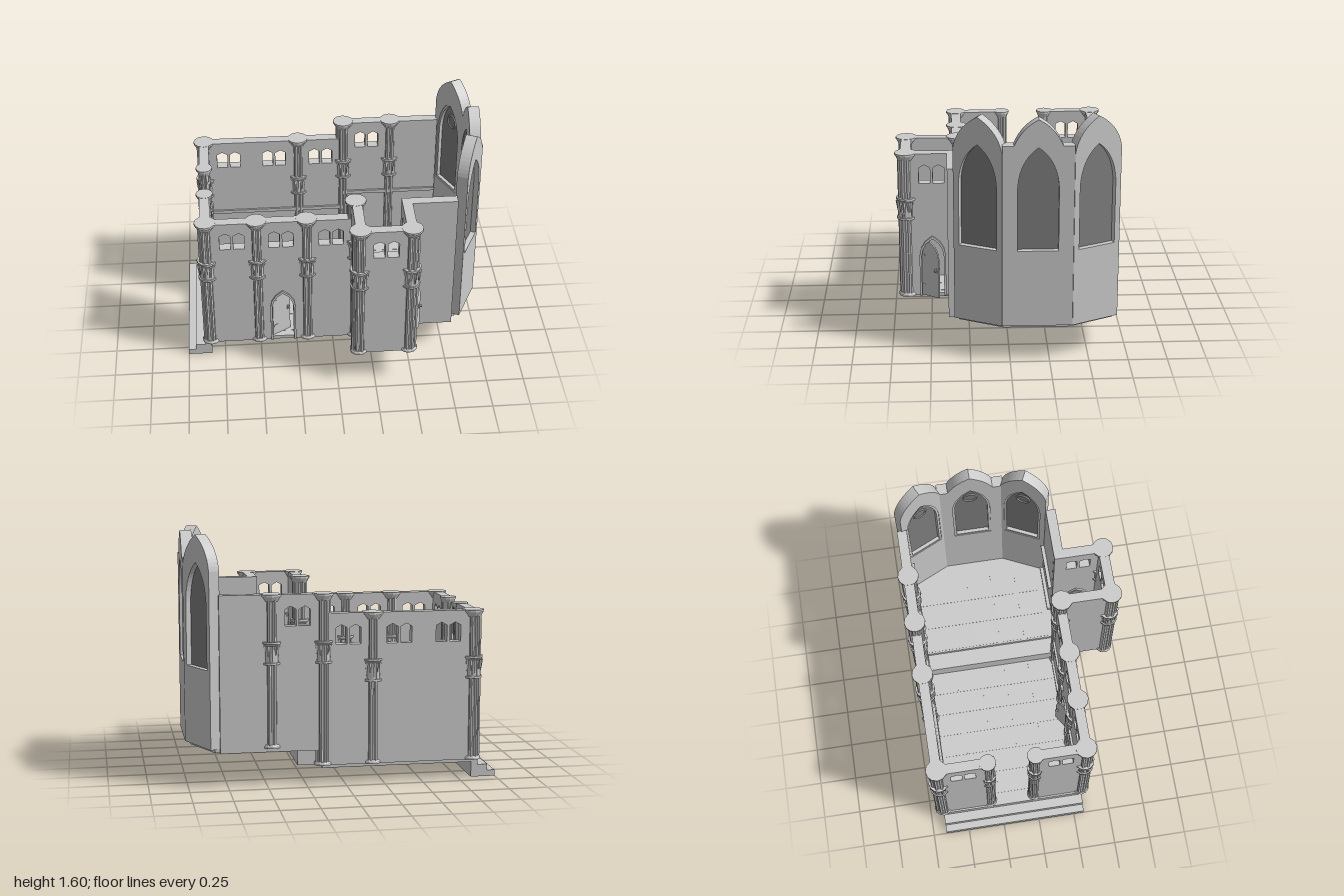
import * as THREE from 'three';
import { mergeGeometries } from 'three/addons/utils/BufferGeometryUtils.js';

const stone = new THREE.MeshStandardMaterial({ color: 0xcccccc, flatShading: true, side: THREE.DoubleSide });
const glass = new THREE.MeshStandardMaterial({ color: 0x808080, side: THREE.DoubleSide });

function add(parent, name, geometry, x = 0, y = 0, z = 0, ry = 0, material = stone) {
  const m = new THREE.Mesh(geometry, material);
  m.name = name;
  m.position.set(x, y, z);
  m.rotation.y = ry;
  parent.add(m);
  return m;
}

// Box given by its limits
function block(parent, name, x0, x1, y0, y1, z0, z1) {
  return add(parent, name, new THREE.BoxGeometry(x1 - x0, y1 - y0, z1 - z0), (x0 + x1) / 2, (y0 + y1) / 2, (z0 + z1) / 2);
}

function extrude(shape, depth, z = 0) {
  return new THREE.ExtrudeGeometry(shape, { depth, bevelEnabled: false, curveSegments: 10 }).translate(0, 0, z);
}

// Pointed arch outline, from bottom left over the apex to bottom right
function archPoints(half, base, spring, apex, cx = 0, n = 3) {
  const curve = new THREE.QuadraticBezierCurve(
    new THREE.Vector2(half, spring), new THREE.Vector2(half * 0.94, spring + (apex - spring) * 0.68), new THREE.Vector2(0, apex));
  const right = [new THREE.Vector2(half, base), ...curve.getPoints(n)];
  const left = right.slice(0, -1).map(p => new THREE.Vector2(-p.x, p.y));
  return [...left, ...right.reverse()].map(p => new THREE.Vector2(p.x + cx, p.y));
}

const WALL = 0.98;
const doorArch = grow => archPoints(0.072 + grow, 0, 0.28, 0.4 + grow * 1.4);

// Wall with paired lights and an optional doorway; local x runs along its length
function wall(parent, name, length, x, y, z, ry, windows = [], door = null, thick = 0.066) {
  const h = length / 2;
  const pts = [new THREE.Vector2(-h, 0)];
  if (door !== null) pts.push(...doorArch(0).map(p => new THREE.Vector2(p.x + door, p.y)));
  pts.push(new THREE.Vector2(h, 0), new THREE.Vector2(h, WALL), new THREE.Vector2(-h, WALL));
  const shape = new THREE.Shape(pts);
  for (const w of windows) for (const s of [-1, 1]) {
    const c = w + s * 0.045;
    shape.holes.push(new THREE.Path([[-0.036, 0.78], [0.036, 0.78], [0.036, 0.885], [0, 0.905], [-0.036, 0.885]]
      .map(([px, py]) => new THREE.Vector2(px + c, py))));
  }
  const group = new THREE.Group();
  group.name = name;
  group.position.set(x, y, z);
  group.rotation.y = ry;
  parent.add(group);
  add(group, 'wallPanel', extrude(shape, thick, -thick / 2));
  if (door !== null) {
    const frame = new THREE.Shape([...doorArch(0.014), ...doorArch(0).reverse()]);
    add(group, 'doorFrame', extrude(frame, thick + 0.024, -thick / 2 - 0.012), door);
  }
  return group;
}

// Door leaf hung on its left edge
function doorLeaf(parent, x, y, z, ry) {
  const leaf = new THREE.Group();
  leaf.name = 'doorLeaf';
  leaf.position.set(x, y, z);
  leaf.rotation.y = ry;
  parent.add(leaf);
  add(leaf, 'doorPanel', extrude(new THREE.Shape(archPoints(0.07, 0.005, 0.27, 0.39)), 0.012, -0.006), 0.07);
  for (const hy of [0.08, 0.29]) add(leaf, 'hinge', new THREE.BoxGeometry(0.03, 0.012, 0.018), 0.02, hy);
  for (const s of [-1, 1]) {
    add(leaf, 'handlePlate', new THREE.BoxGeometry(0.014, 0.035, 0.006), 0.122, 0.195, s * 0.008);
    add(leaf, 'doorKnob', new THREE.SphereGeometry(0.01, 8, 6), 0.122, 0.2, s * 0.02);
  }
}

// Clustered column: core, slim shafts, leafy collar, flared base and cap
function column(parent, x, y, z, top, scale = 1) {
  const H = top - y, collar = H - 0.445;
  const ring = (r0, r1, h, cy) => new THREE.CylinderGeometry(r1, r0, h, 12).translate(0, cy, 0);
  const parts = [
    ring(0.046, 0.046, H, H / 2),
    ring(0.06, 0.06, 0.012, 0.006), ring(0.06, 0.053, 0.012, 0.018),
    ring(0.054, 0.054, 0.13, collar + 0.07),
    ring(0.063, 0.063, 0.014, collar + 0.007),
    ring(0.056, 0.066, 0.014, collar + 0.126), ring(0.066, 0.066, 0.012, collar + 0.139),
    ring(0.052, 0.066, 0.03, H - 0.029), ring(0.07, 0.07, 0.014, H - 0.007),
  ];
  for (let i = 0; i < 8; i++) {
    const a = (i + 0.5) * Math.PI / 4;
    parts.push(new THREE.CylinderGeometry(0.013, 0.013, H - 0.02, 6).translate(Math.cos(a) * 0.042, H / 2, Math.sin(a) * 0.042));
  }
  // Drooping leaves of alternating length
  for (let i = 0; i < 14; i++) {
    const h = i % 2 ? 0.1 : 0.07;
    parts.push(new THREE.ConeGeometry(0.012, h, 4).rotateX(Math.PI).translate(0, collar + 0.12 - h / 2, 0.056).rotateY(i * Math.PI / 7));
  }
  const m = add(parent, 'column', mergeGeometries(parts), x, y, z);
  m.scale.set(scale, 1, scale);
}

// Apse bay with pointed gable, tall window and tracery; local z faces outward
function apseBay(parent, x, z, ry, half, shouldered) {
  const bay = new THREE.Group();
  bay.name = 'apseBay';
  bay.position.set(x, 0, z);
  bay.rotation.y = ry;
  parent.add(bay);
  const s = new THREE.Shape();
  s.moveTo(-half, 0.25);
  s.lineTo(half, 0.25);
  if (shouldered) {
    s.lineTo(half, 1.435);
    s.lineTo(0.15, 1.435);
    s.quadraticCurveTo(0.1, 1.55, 0, 1.6);
    s.quadraticCurveTo(-0.1, 1.55, -0.15, 1.435);
    s.lineTo(-half, 1.435);
  } else {
    s.lineTo(half, 1.38);
    s.quadraticCurveTo(half - 0.02, 1.52, 0, 1.6);
    s.quadraticCurveTo(0.02 - half, 1.52, -half, 1.38);
  }
  const opening = archPoints(0.127, 0.755, 1.16, 1.425, 0, 10);
  s.holes.push(new THREE.Path(opening));
  add(bay, 'bayWall', extrude(s, 0.075, -0.075));
  add(bay, 'windowPane', extrude(new THREE.Shape(opening), 0.01, -0.045), 0, 0, 0, 0, glass);
  const trim = new THREE.Shape(opening);
  trim.holes.push(new THREE.Path(archPoints(0.112, 0.77, 1.16, 1.405, 0, 10)));
  add(bay, 'windowTrim', extrude(trim, 0.024, -0.07));
  add(bay, 'tracery', new THREE.TorusGeometry(0.045, 0.006, 6, 20), 0, 1.27, -0.048);
}

// Grid of slightly raised floor tiles
function tiles(parent, x0, x1, z0, z1, y, nx, nz) {
  const dx = (x1 - x0) / nx, dz = (z1 - z0) / nz, parts = [];
  for (let i = 0; i < nx; i++) for (let j = 0; j < nz; j++)
    parts.push(new THREE.BoxGeometry(dx - 0.005, 0.004, dz - 0.005).translate(x0 + (i + 0.5) * dx, y, z0 + (j + 0.5) * dz));
  add(parent, 'floorTiles', mergeGeometries(parts));
}

export function createModel() {
  const g = new THREE.Group();
  g.name = 'chapel';
  const S = 0.318, N = -0.656, LOW = 0.125, HIGH = 0.25, Q = Math.PI / 2;

  // Entrance steps, nave floor and steps up to the choir
  block(g, 'step', -1, -0.84, 0, 0.04, -0.66, 0.32);
  block(g, 'step', -0.95, -0.84, 0.04, 0.08, -0.66, 0.32);
  block(g, 'step', -0.885, -0.84, 0.08, LOW, -0.66, 0.32);
  block(g, 'naveFloor', -0.84, 0.145, 0.1, LOW, -0.66, 0.32);
  block(g, 'choirFooting', 0.145, 0.305, LOW, 0.225, -0.66, 0.32);
  block(g, 'choirStep', 0.145, 0.2, LOW, 0.167, -0.64, 0.3);
  block(g, 'choirStep', 0.195, 0.27, LOW, 0.208, -0.64, 0.3);

  // Choir and porch slab with its faceted east end
  const slab = new THREE.Shape([[0.26, -0.66], [0.83, -0.66], [0.965, -0.38], [0.965, 0.04], [0.83, 0.32], [0.47, 0.32],
    [0.47, 0.65], [0.14, 0.65], [0.14, 0.29], [0.26, 0.29]].map(([x, z]) => new THREE.Vector2(x, -z)));
  add(g, 'choirFloor', extrude(slab, 0.025).rotateX(-Q), 0, 0.225, 0);
  tiles(g, -0.8, 0.14, -0.61, 0.27, LOW, 6, 5);
  tiles(g, 0.27, 0.81, -0.61, 0.27, HIGH, 3, 5);
  tiles(g, 0.19, 0.43, 0.33, 0.61, HIGH, 2, 2);

  // Nave walls
  wall(g, 'naveNorthWall', 0.98, -0.35, LOW, N, 0, [-0.32, 0, 0.33]);
  wall(g, 'naveSouthWall', 0.98, -0.35, LOW, S, 0, [-0.32, 0, 0.33], 0.003);
  wall(g, 'westWall', 0.33, -0.84, LOW, -0.49, Q, [0]);
  wall(g, 'westWall', 0.33, -0.84, LOW, 0.153, Q, [0]);

  // Choir and porch walls
  wall(g, 'choirNorthWall', 0.66, 0.47, HIGH, N, 0, [-0.165]);
  wall(g, 'choirSouthWall', 0.33, 0.635, HIGH, 0.352, 0);
  wall(g, 'porchSouthWall', 0.33, 0.305, HIGH, 0.65, 0, [0]);
  wall(g, 'porchWestWall', 0.33, 0.145, HIGH, 0.485, Q);
  wall(g, 'porchEastWall', 0.33, 0.47, HIGH, 0.485, Q, [0], 0);
  block(g, 'choirNorthFooting', 0.14, 0.8, 0.225, HIGH, -0.689, -0.62);
  block(g, 'choirSouthFooting', 0.47, 0.8, 0.225, HIGH, 0.3, 0.385);

  // Plinths and string courses inside
  for (const dy of [0, 0.39]) {
    block(g, 'northMoulding', -0.8, 0.14, LOW + dy, LOW + dy + 0.025, -0.63, -0.61);
    block(g, 'northMoulding', 0.14, 0.8, HIGH + dy, HIGH + dy + 0.025, -0.63, -0.61);
    block(g, 'southMoulding', 0.47, 0.8, HIGH + dy, HIGH + dy + 0.025, 0.295, 0.325);
    for (const [x0, x1] of [[-0.8, -0.44], [-0.25, 0.14]])
      block(g, 'southMoulding', x0, x1, LOW + dy, LOW + dy + 0.025, 0.27, 0.29);
  }

  // Doors standing ajar
  doorLeaf(g, -0.418, LOW, 0.308, 0.55);
  doorLeaf(g, 0.49, HIGH, 0.562, 1.0);

  // Columns
  for (const [x, z] of [[-0.84, N], [-0.84, S], [-0.51, S], [-0.18, S], [-0.18, N]]) column(g, x, LOW, z, 1.107);
  for (const z of [-0.325, -0.012]) column(g, -0.84, LOW, z, 1.107, 0.8);
  for (const z of [N, S]) column(g, 0.14, LOW, z, 1.232);
  for (const [x, z] of [[0.47, N], [0.14, 0.65], [0.47, 0.65]]) column(g, x, HIGH, z, 1.232);

  // Three-sided apse
  apseBay(g, 1, -0.17, Q, 0.22, true);
  const turn = Math.atan2(0.903, 0.428);
  apseBay(g, 0.93, 0.2, turn, 0.164, false);
  apseBay(g, 0.93, -0.54, Math.PI - turn, 0.164, false);
  return g;
}
